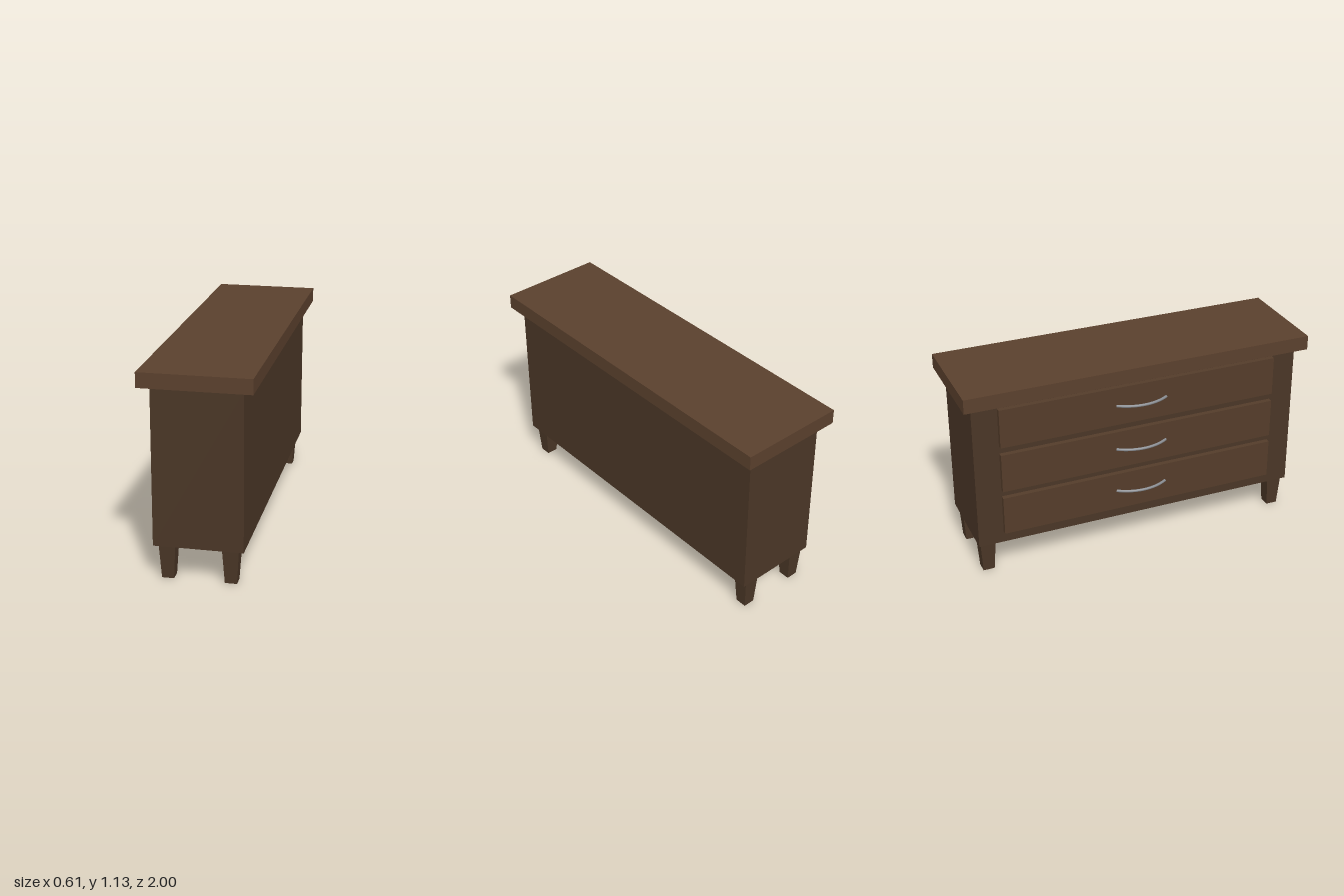
import * as THREE from 'three';

const paint = (color) => new THREE.MeshStandardMaterial({ color });

export function createModel() {
  const group = new THREE.Group();
  const bodyWood = paint(0x4a3626);
  const topWood = paint(0x5a402d);
  const drawerWood = paint(0x543c2a);
  const metal = paint(0x888b90);

  const add = (name, geometry, material, x, y, z) => {
    const mesh = new THREE.Mesh(geometry, material);
    mesh.name = name;
    mesh.position.set(x, y, z);
    group.add(mesh);
    return mesh;
  };

  // Box given by its x and y limits and its depth, centred on z = 0
  const slab = (name, x0, x1, y0, y1, depth, material) =>
    add(name, new THREE.BoxGeometry(x1 - x0, y1 - y0, depth), material,
      (x0 + x1) / 2, (y0 + y1) / 2, 0);

  // Cabinet and overhanging top
  slab('body', -0.227, 0.25, 0.188, 1.05, 1.9, bodyWood);
  slab('top', -0.285, 0.305, 1.05, 1.131, 2, topWood);

  // Tapered square legs
  const legHeight = 0.188;
  const leg = new THREE.BoxGeometry(0.088, legHeight, 0.088);
  const p = leg.attributes.position;
  for (let i = 0; i < p.count; i++) {
    if (p.getY(i) < 0) {
      p.setX(i, p.getX(i) * 0.73);
      p.setZ(i, p.getZ(i) * 0.73);
    }
  }
  leg.computeVertexNormals();
  for (const x of [-0.156, 0.178]) {
    for (const z of [-0.892, 0.892]) add('leg', leg, bodyWood, x, legHeight / 2, z);
  }

  // Bowed handle: a shallow circular arc meeting the drawer at both ends
  const radius = 0.2626, half = 0.147, apex = -0.3;
  const sweep = Math.asin(half / radius);
  const points = [];
  for (let i = 0; i <= 12; i++) {
    const a = -sweep + (2 * sweep * i) / 12;
    points.push(new THREE.Vector3(apex + radius * (1 - Math.cos(a)), 0, radius * Math.sin(a)));
  }
  const handle = new THREE.TubeGeometry(new THREE.CatmullRomCurve3(points), 32, 0.0075, 10);

  // Three drawers on the -x side, each with a handle
  for (const y of [0.368, 0.635, 0.905]) {
    slab('drawerFront', -0.255, -0.227, y - 0.1125, y + 0.1125, 1.615, drawerWood);
    add('handle', handle, metal, 0, y + 0.005, 0);
  }
  return group;
}
